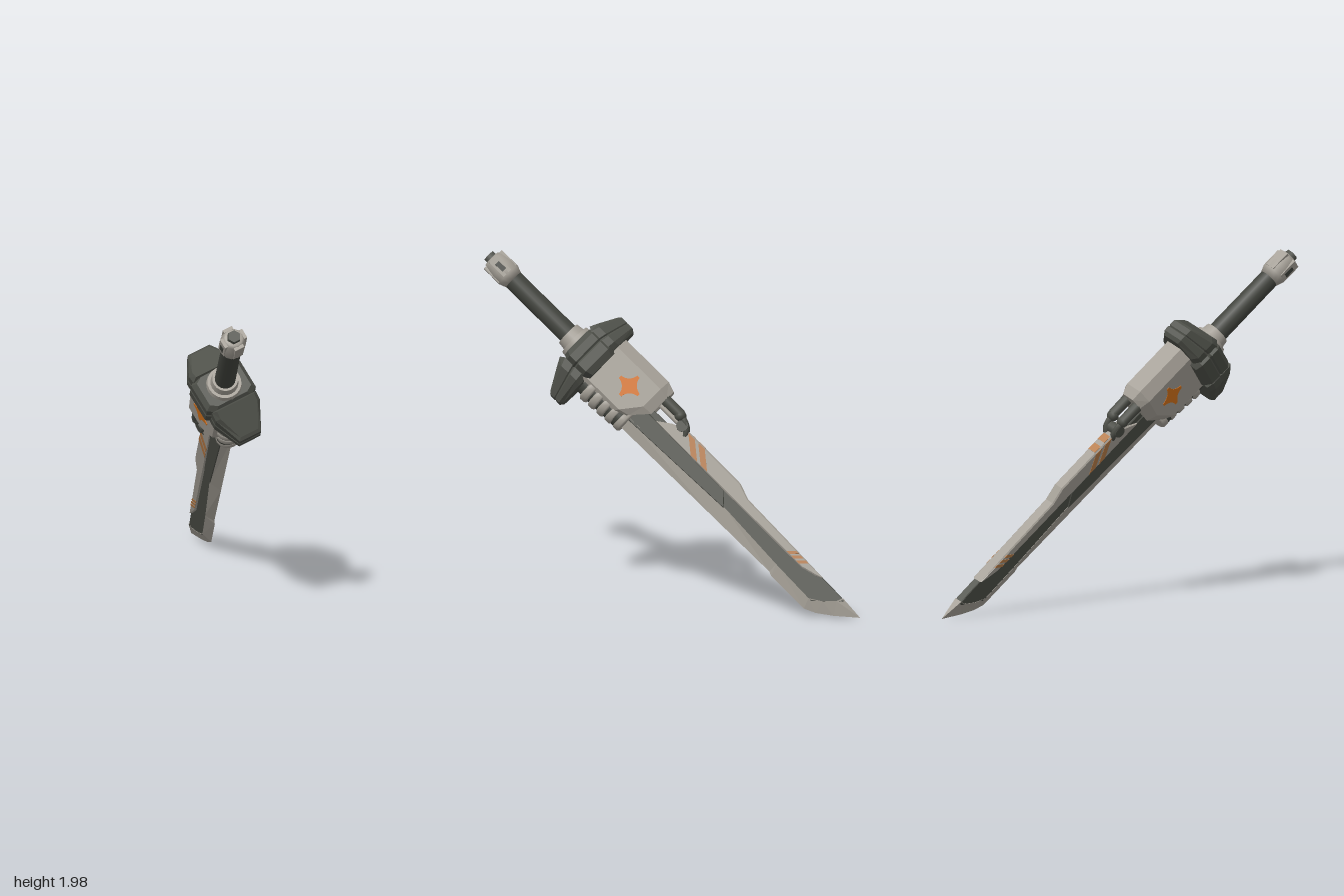
import * as THREE from 'three';

const mat = (name, color) => Object.assign(new THREE.MeshStandardMaterial({ color }), { name });

export function createModel() {
  const light = mat('warm grey armour', 0xa39e95);
  const dark = mat('dark olive metal', 0x4c4e47);
  const grip = mat('charcoal grip', 0x42443e);
  const orange = mat('orange paint', 0xd4721a);
  const worn = mat('worn orange paint', 0xb57a46);

  // Local axes: x = towards the spine, y = towards the tip, z = out of the blade face
  const sword = new THREE.Group();
  sword.name = 'sword';
  const add = (name, geo, material, x = 0, y = 0, z = 0) => {
    const m = new THREE.Mesh(geo, material);
    m.name = name;
    m.position.set(x, y, z);
    sword.add(m);
    return m;
  };

  // Bevelled plate, symmetric about the blade plane
  const plate = (pts, half, bevel) => {
    const shape = new THREE.Shape(pts.map(p => new THREE.Vector2(...p)));
    const depth = 2 * (half - bevel);
    return new THREE.ExtrudeGeometry(shape, {
      depth, bevelEnabled: true, bevelThickness: bevel, bevelSize: bevel, bevelOffset: -bevel, bevelSegments: 1,
    }).translate(0, 0, -depth / 2);
  };

  // Painted mark on both faces
  const paint = (name, shape, z, material) => {
    for (const s of [1, -1]) {
      const geo = new THREE.ExtrudeGeometry(shape, { depth: 0.003, bevelEnabled: false });
      add(name, geo, material, 0, 0, s > 0 ? z : -z - 0.003);
    }
  };

  // Flat-faced loft through closed rings of [x, y, z], ordered from +x to +z
  const loft = rings => {
    const out = [];
    const n = rings[0].length;
    for (let i = 0; i + 1 < rings.length; i++) {
      for (let j = 0; j < n; j++) {
        const k = (j + 1) % n;
        const [a, b, c, d] = [rings[i][j], rings[i][k], rings[i + 1][k], rings[i + 1][j]];
        out.push(...a, ...d, ...b, ...b, ...d, ...c);
      }
    }
    const first = rings[0], last = rings[rings.length - 1];
    for (let j = 1; j + 1 < n; j++) {
      out.push(...first[0], ...first[j], ...first[j + 1]);
      out.push(...last[0], ...last[j + 1], ...last[j]);
    }
    const geo = new THREE.BufferGeometry();
    geo.setAttribute('position', new THREE.Float32BufferAttribute(out, 3));
    geo.computeVertexNormals();
    return geo;
  };

  const lathe = (pts, seg) => new THREE.LatheGeometry(pts.map(p => new THREE.Vector2(...p)), seg);

  // Pommel: shell, dark end cap, low prongs and side slots
  add('pommel', lathe([[0, 0.015], [0.05, 0.015], [0.064, 0.035], [0.076, 0.1], [0.075, 0.15], [0.06, 0.19], [0, 0.19]], 12), light);
  add('pommelCap', new THREE.CylinderGeometry(0.042, 0.038, 0.05, 6), dark, 0, 0.015);
  for (let i = 0; i < 4; i++) {
    const a = i * Math.PI / 2;
    const p = add('pommelProng', new THREE.BoxGeometry(0.02, 0.12, 0.06), light, 0.063 * Math.cos(a), 0.085, -0.063 * Math.sin(a));
    p.rotation.y = a;
  }
  for (const s of [1, -1]) add('pommelSlot', new THREE.BoxGeometry(0.03, 0.06, 0.006), grip, 0, 0.09, s * 0.073);

  // Handle and two-tier collar
  add('handle', new THREE.CylinderGeometry(0.06, 0.058, 0.54, 20), grip, 0, 0.44);
  add('collarRing', new THREE.CylinderGeometry(0.082, 0.074, 0.06, 20), light, 0, 0.66);
  add('collarBase', new THREE.CylinderGeometry(0.108, 0.098, 0.06, 20), light, 0, 0.71);

  // Guard: central block and two chevron wings
  const block = [[1, -0.7], [1, 0.7], [0.75, 1], [-0.75, 1], [-1, 0.7], [-1, -0.7], [-0.75, -1], [0.75, -1]];
  add('guardBlock', loft([[0.71, 0.84], [0.74, 1], [0.79, 1], [0.8, 0.95], [0.81, 1], [0.87, 1], [0.91, 0.85]].map(([v, k]) =>
    block.map(([u, n]) => [u * 0.12 * k, v, n * 0.162 * k]))), dark);
  const wing = (name, s, inner, outer, slope) => {
    const mid = (inner + outer) / 2;
    let outline = [[outer, -0.07], [outer, 0.07], [inner + 0.05, 0.145], [inner, 0.145], [inner, -0.145], [inner + 0.05, -0.145]];
    if (s < 0) outline = outline.slice().reverse();
    const levels = [[0, 0.84], [0.14, 1], [0.45, 1], [0.5, 0.94], [0.55, 1], [0.82, 1], [1, 0.82]];
    add(name, loft(levels.map(([t, k]) => outline.map(([u, n]) => {
      const top = 0.7 + slope * (u - inner);
      return [s * (mid + (u - mid) * k), top + (0.895 - top) * t, n * k];
    }))), dark);
  };
  wing('spineWing', 1, 0.095, 0.278, 0.4);
  wing('edgeWing', -1, 0.115, 0.32, 0.45);

  // Housing below the guard, with a slanted lower end
  const section = [[0.205, -0.055], [0.205, 0.055], [0.14, 0.102], [0, 0.102], [-0.11, 0.102], [-0.14, 0.07],
    [-0.14, -0.07], [-0.11, -0.102], [0, -0.102], [0.14, -0.102]];
  const lowEnd = u => 1.29 + 0.8 * Math.min(0, u);
  add('housing', loft([
    section.map(([u, n]) => [u, 0.87, n]),
    section.map(([u, n]) => [u, lowEnd(u) - 0.05, n]),
    section.map(([u, n]) => [0.03 + (u - 0.03) * 0.88, lowEnd(u) + 0.01, n * 0.75]),
  ]), light);

  // Four-pointed star with blunt arms and curved sides
  const star = new THREE.Shape();
  const starPoint = (r, a) => [0.028 + r * Math.cos(a), 1.1 + r * Math.sin(a)];
  star.moveTo(...starPoint(0.075, 0.12));
  for (let i = 1; i <= 4; i++) {
    const a = i * Math.PI / 2;
    star.quadraticCurveTo(...starPoint(0.026, a - Math.PI / 4), ...starPoint(0.075, a - 0.12));
    star.lineTo(...starPoint(0.075, a + 0.12));
  }
  paint('star', star, 0.102, orange);

  // Ribbed vent on the edge side
  add('ventCore', new THREE.CylinderGeometry(0.075, 0.08, 0.3, 16).scale(0.85, 1, 1), grip, -0.13, 1.05);
  for (let i = 0; i < 5; i++) {
    const r = 0.096 - 0.005 * i;
    add('ventRib', lathe([[0, 0], [r - 0.01, 0], [r, 0.01], [r, 0.04], [r - 0.01, 0.05], [0, 0.05]], 16).scale(0.9, 1, 1),
      light, -0.13, 0.93 + i * 0.062);
  }

  // Hydraulic link between the housing and the spine
  for (const s of [1, -1]) {
    add('piston', new THREE.CylinderGeometry(0.03, 0.033, 0.14, 12), dark, 0.12, 1.35, s * 0.045);
    add('pistonHead', new THREE.SphereGeometry(0.034, 12, 8), dark, 0.115, 1.42, s * 0.042);
    const path = new THREE.CatmullRomCurve3([[0.115, 1.41, 0.042], [0.11, 1.46, 0.042], [0.085, 1.5, 0.033], [0.05, 1.52, 0.02]]
      .map(([x, y, z]) => new THREE.Vector3(x, y, s * z)));
    add('hose', new THREE.TubeGeometry(path, 12, 0.018, 8), dark);
  }
  add('pivot', new THREE.CylinderGeometry(0.034, 0.034, 0.11, 14).rotateX(Math.PI / 2), dark, 0.08, 1.47);
  add('pistonRod', new THREE.CylinderGeometry(0.016, 0.016, 0.2, 10), light, 0.08, 1.36);

  // Blade core and raised base panel
  add('bladeCore', plate([[-0.12, 1.1], [0.03, 1.1], [0.04, 2], [0.024, 2.75], [0.02, 2.84], [-0.012, 2.82],
    [-0.118, 2.7], [-0.118, 2.6], [-0.09, 1.98], [-0.115, 1.2]], 0.024, 0.004), dark);
  add('basePanel', plate([[-0.115, 1.14], [0.0, 1.2], [-0.012, 1.9], [-0.088, 1.97]], 0.029, 0.005), dark);

  // Light spine strip, stepping down halfway
  add('spineStrip', plate([[-0.006, 1.34], [0.05, 1.42], [0.084, 1.5], [0.08, 1.94], [0.046, 2.035], [0.034, 2.45],
    [0.026, 2.66], [0.006, 2.62], [-0.017, 2.53], [-0.015, 1.9]], 0.034, 0.007), light);

  // Cutting edge, mitred round to the tip: [outer x, outer y, inner x, inner y, half thickness]
  add('cuttingEdge', loft([
    [-0.17, 1.16, -0.1, 1.14, 0.03], [-0.165, 1.95, -0.082, 1.98, 0.026], [-0.162, 2.41, -0.105, 2.41, 0.026],
    [-0.172, 2.435, -0.106, 2.43, 0.026], [-0.174, 2.7, -0.114, 2.68, 0.026], [-0.145, 2.765, -0.07, 2.75, 0.026],
    [-0.085, 2.85, -0.014, 2.805, 0.026], [0.014, 2.967, 0.024, 2.82, 0.025],
  ].map(([ox, oy, ix, iy, h]) => [[ix, iy, h], [ox, oy, 0], [ix, iy, -h]])), light);

  // Slanted stripes on the spine strip
  const stripe = (u0, u1, v0, v1, w) => new THREE.Shape([
    new THREE.Vector2(u0, v0 - w), new THREE.Vector2(u1, v1 - w), new THREE.Vector2(u1, v1 + w), new THREE.Vector2(u0, v0 + w),
  ]);
  for (const v of [1.61, 1.69]) {
    paint('upperStripe', stripe(-0.006, 0.076, v + 0.04, v - 0.06, 0.026), 0.033, worn);
    add('spineStripe', new THREE.BoxGeometry(0.004, 0.05, 0.052), worn, 0.083, v - 0.06);
  }
  for (const v of [2.43, 2.47, 2.51]) paint('lowerStripe', stripe(-0.012, 0.028, v - 0.02, v + 0.02, 0.012), 0.033, worn);

  // Tilt the sword into its diagonal pose
  const along = new THREE.Vector3(0.468, -0.656, -0.592).normalize();
  const face = new THREE.Vector3(0.883, 0.332, 0.332);
  const spine = new THREE.Vector3().crossVectors(along, face).negate().normalize();
  face.crossVectors(spine, along);
  sword.quaternion.setFromRotationMatrix(new THREE.Matrix4().makeBasis(spine, along, face));
  sword.position.set(-0.676, 1.942, 0.861);

  const model = new THREE.Group();
  model.add(sword);
  return model;
}
